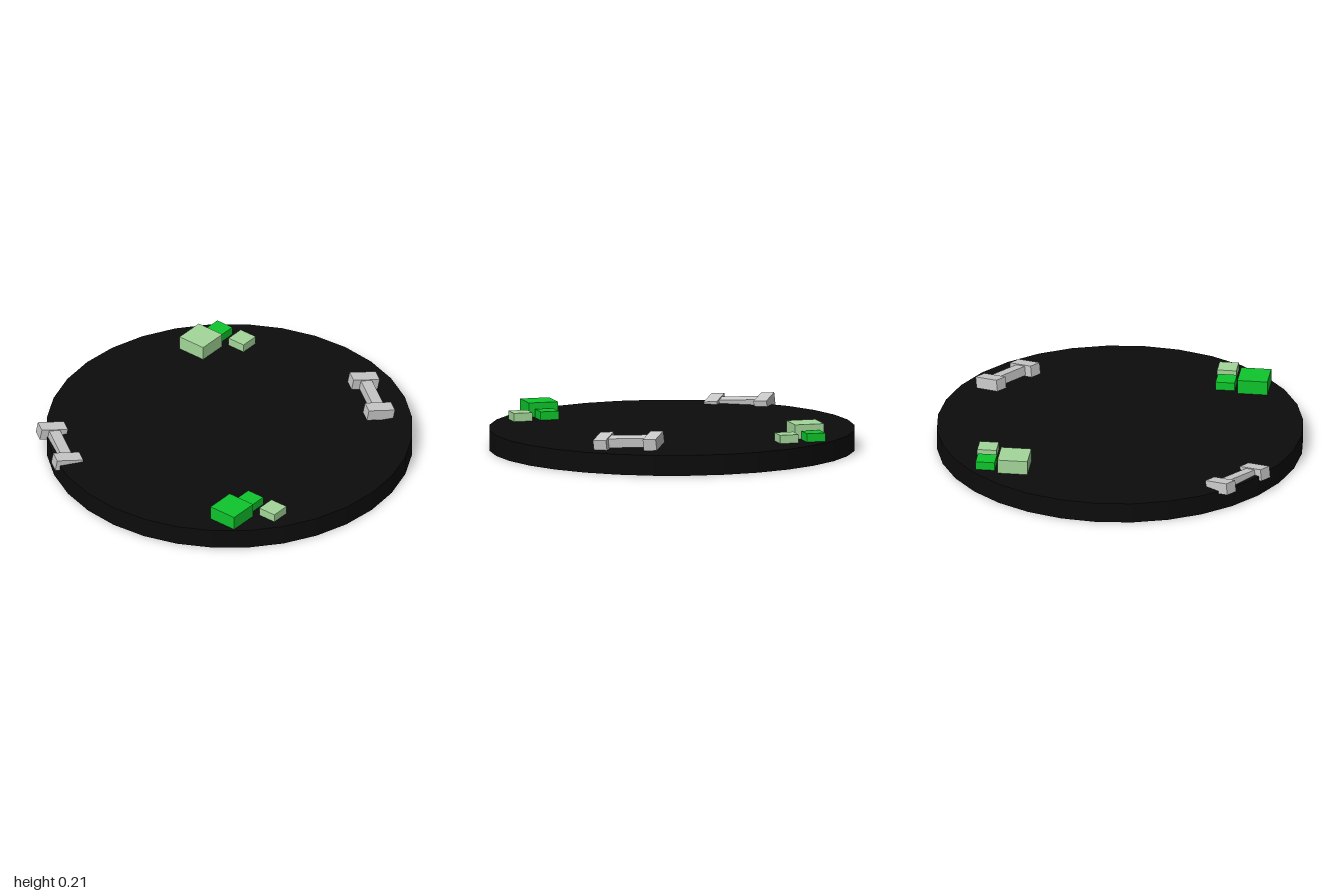
import * as THREE from 'three';

const DISC_TOP = 0.112;

const makeMaterial = (color) => new THREE.MeshStandardMaterial({ color, flatShading: true });

function box(name, w, h, d, x, y, z, material) {
  const mesh = new THREE.Mesh(new THREE.BoxGeometry(w, h, d), material);
  mesh.name = name;
  mesh.position.set(x, y, z);
  return mesh;
}

// A bone: a bar with two knobs at each end, running along local z
function makeBone(name, x, y, z, material) {
  const bone = new THREE.Group();
  bone.name = name;
  bone.add(box('boneShaft', 0.064, 0.052, 0.28, 0, 0, 0, material));
  for (const end of [-1, 1]) {
    for (const side of [-1, 1]) {
      bone.add(box('boneKnob', 0.077, 0.064, 0.074, side * 0.037, 0, end * 0.142, material));
    }
  }
  // Lying askew: back end and inner side slightly raised
  const back = new THREE.Vector3(-0.553, -0.06, 0.83).normalize();
  const up = back.clone().cross(new THREE.Vector3(0.82, -0.17, 0.55)).normalize();
  const across = up.clone().cross(back);
  bone.quaternion.setFromRotationMatrix(new THREE.Matrix4().makeBasis(across, up, back));
  bone.position.set(x, y, z);
  return bone;
}

export function createModel() {
  const model = new THREE.Group();
  const black = makeMaterial(0x0c0c0c);
  const grey = makeMaterial(0xcccccc);
  const green = makeMaterial(0x0fc52c);
  const paleGreen = makeMaterial(0xa4d89a);

  // Round ground disc
  const disc = new THREE.Mesh(new THREE.CylinderGeometry(1, 1, DISC_TOP, 32), black);
  disc.name = 'groundDisc';
  disc.position.y = DISC_TOP / 2;
  model.add(disc);

  // Two clusters of bush blocks: name, size, height, x, z, material
  const blocks = [
    ['largeBushBackLeft', 0.165, 0.078, 0.501, -0.608, paleGreen],
    ['smallBushBackLeft', 0.105, 0.046, 0.655, -0.608, green],
    ['smallPaleBushBackLeft', 0.105, 0.046, 0.666, -0.453, paleGreen],
    ['largeBushFrontRight', 0.165, 0.078, -0.665, 0.558, green],
    ['smallBushFrontRight', 0.105, 0.046, -0.511, 0.558, green],
    ['smallPaleBushFrontRight', 0.105, 0.046, -0.5, 0.712, paleGreen],
  ];
  for (const [name, size, height, x, z, material] of blocks) {
    model.add(box(name, size, height, size, x, DISC_TOP + height / 2, z, material));
  }

  // Bones, the back one sunk into the rim
  model.add(makeBone('frontBone', 0.674, 0.156, 0.448, grey));
  model.add(makeBone('backBone', -0.727, 0.116, -0.602, grey));

  return model;
}
